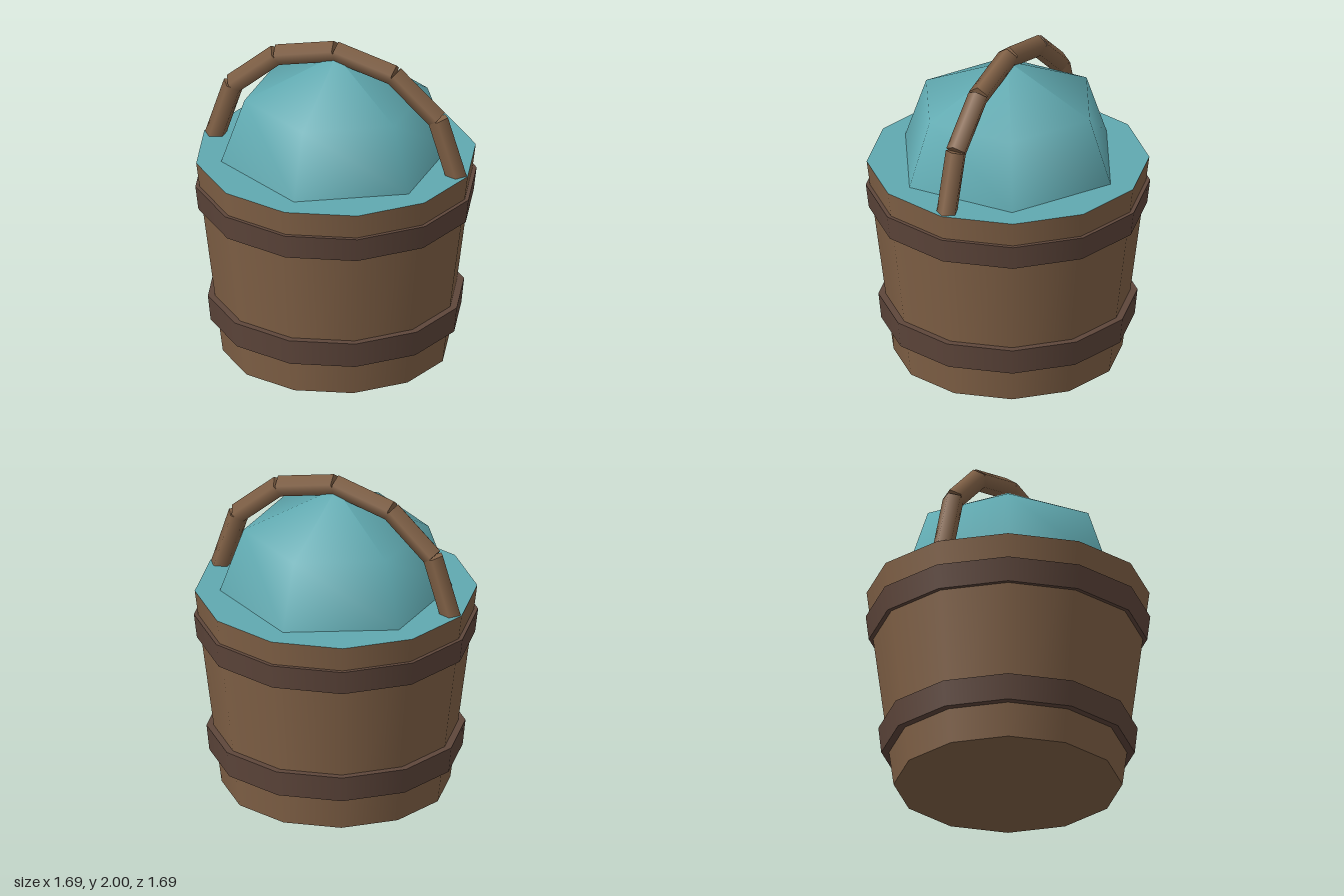
import * as THREE from 'three';

export function createModel() {
  const model = new THREE.Group();
  model.name = 'bucket';

  const material = (name, color) => {
    const m = new THREE.MeshStandardMaterial({ color });
    m.name = name;
    return m;
  };
  const wood = material('wood', 0x826247);
  const band = material('dark band', 0x5e463b);
  const water = material('water', 0x60a9b0);

  const add = (name, geometry, mat, parent = model) => {
    const mesh = new THREE.Mesh(geometry, mat);
    mesh.name = name;
    parent.add(mesh);
    return mesh;
  };

  // Twelve-sided tapered ring or tub standing between two heights
  const tapered = (name, y0, y1, r0, r1, mat) => {
    const mesh = add(name, new THREE.CylinderGeometry(r1, r0, y1 - y0, 12), mat);
    mesh.position.y = (y0 + y1) / 2;
    return mesh;
  };

  // Wooden tub, filled to the brim: its top face is the liquid surface
  const rim = 1.255;
  tapered('tub', 0, rim, 0.68, 0.84, [wood, water, wood]);
  tapered('lowerBand', 0.21, 0.37, 0.753, 0.77, band);
  tapered('upperBand', 0.95, 1.1, 0.827, 0.845, band);

  // Six-sided heap rising from the surface
  const profile = [[0.69, rim], [0.55, 1.65], [0, 1.91]].map(p => new THREE.Vector2(...p));
  add('dome', new THREE.LatheGeometry(profile, 6), water);

  // Handle: five-sided rods between the joints of an arch, one edge facing outward
  const handle = new THREE.Group();
  handle.name = 'handle';
  model.add(handle);
  const half = [[0.772, 1.235], [0.652, 1.602], [0.372, 1.846]];
  const joints = [
    ...half.map(([x, y]) => [-x, y]),
    [0, 1.937],
    ...half.slice().reverse(),
  ].map(([x, y]) => new THREE.Vector3(x, y, 0));

  for (let i = 0; i < joints.length - 1; i++) {
    const a = joints[i], b = joints[i + 1];
    const along = b.clone().sub(a).normalize();
    const outward = new THREE.Vector3(-along.y, along.x, 0);
    const side = along.clone().cross(outward);
    const rod = add('handleRod' + (i + 1),
      new THREE.CylinderGeometry(0.065, 0.065, a.distanceTo(b), 5), wood, handle);
    rod.quaternion.setFromRotationMatrix(new THREE.Matrix4().makeBasis(side, along, outward));
    rod.position.copy(a).add(b).multiplyScalar(0.5);
  }

  return model;
}
